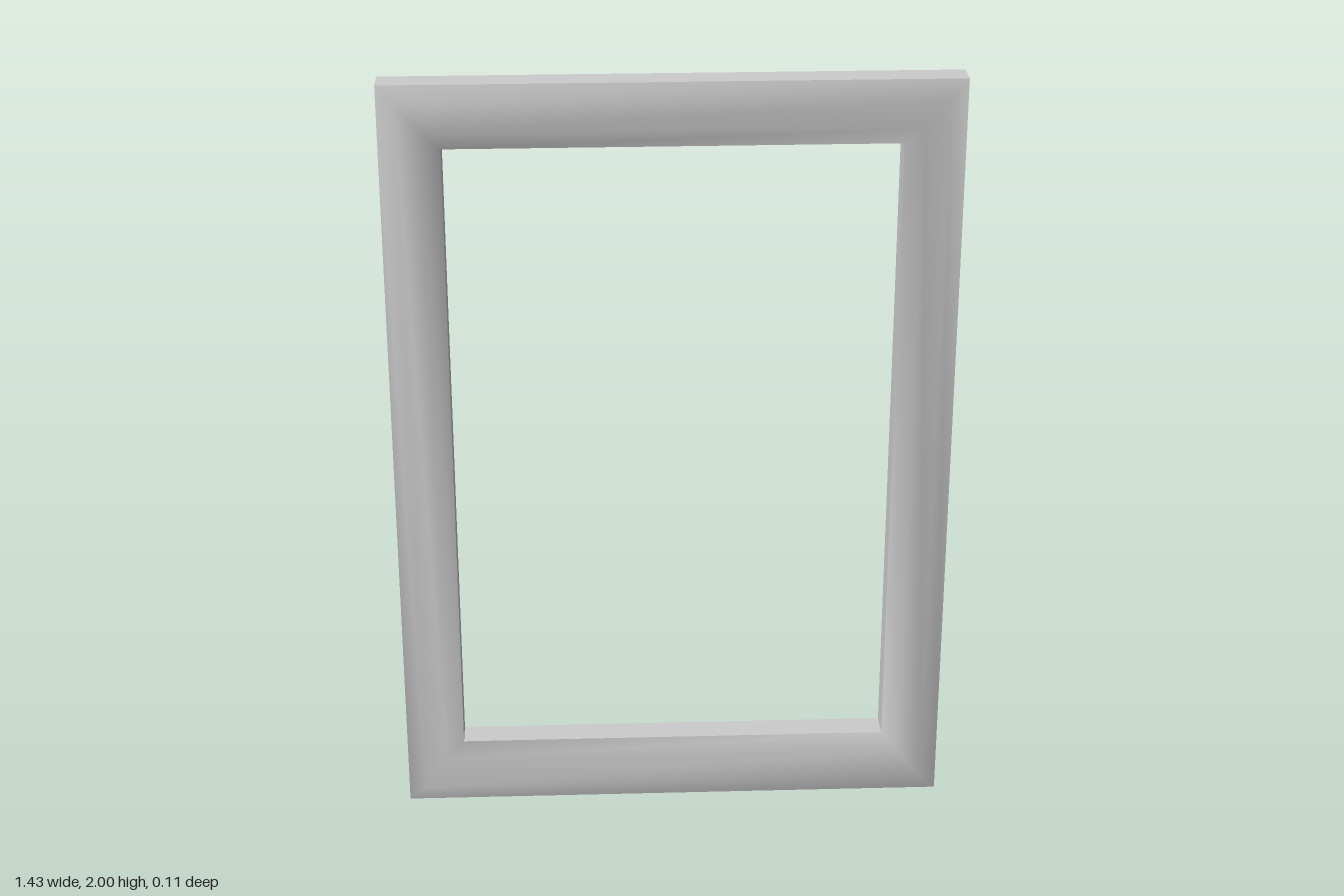
import * as THREE from 'three';
import { toCreasedNormals } from 'three/addons/utils/BufferGeometryUtils.js';

const EDGE = 0.037, CREST = 0.056, BEVEL = 0.045;

// Corners of a rectangle, anticlockwise from bottom left, grown by d
const rect = (halfW, bottom, top, d) => [
  [-halfW - d, bottom - d], [halfW + d, bottom - d],
  [halfW + d, top + d], [-halfW - d, top + d],
];
const outer = (d) => rect(0.713, 0, 2, d);
const inner = (d) => rect(0.562, 0.177, 1.839, d);

export function createModel() {
  // Moulding cross-section: outer wall, front face, inner wall, back face
  const section = [
    [outer(0), -EDGE], [outer(0), EDGE],
    [outer(-BEVEL), CREST], [inner(BEVEL), CREST],
    [inner(0), EDGE], [inner(0), -EDGE],
    [inner(BEVEL), -CREST], [outer(-BEVEL), -CREST],
  ];
  const positions = section.flatMap(([corners, z]) => corners.flatMap(([x, y]) => [x, y, z]));

  // Join neighbouring rings, mitred at the four corners
  const index = [];
  const n = section.length;
  for (let i = 0; i < n; i++) {
    for (let j = 0; j < 4; j++) {
      const a = i * 4 + j, b = i * 4 + (j + 1) % 4;
      const c = ((i + 1) % n) * 4 + (j + 1) % 4, d = ((i + 1) % n) * 4 + j;
      index.push(a, b, c, a, c, d);
    }
  }
  const geometry = new THREE.BufferGeometry();
  geometry.setAttribute('position', new THREE.Float32BufferAttribute(positions, 3));
  geometry.setIndex(index);

  // Soft faces with sharp wall edges
  const frame = new THREE.Mesh(
    toCreasedNormals(geometry, 0.8),
    new THREE.MeshStandardMaterial({ color: 0xcccccc }),
  );
  frame.name = 'frame';

  const group = new THREE.Group();
  group.name = 'pictureFrame';
  group.add(frame);
  return group;
}
